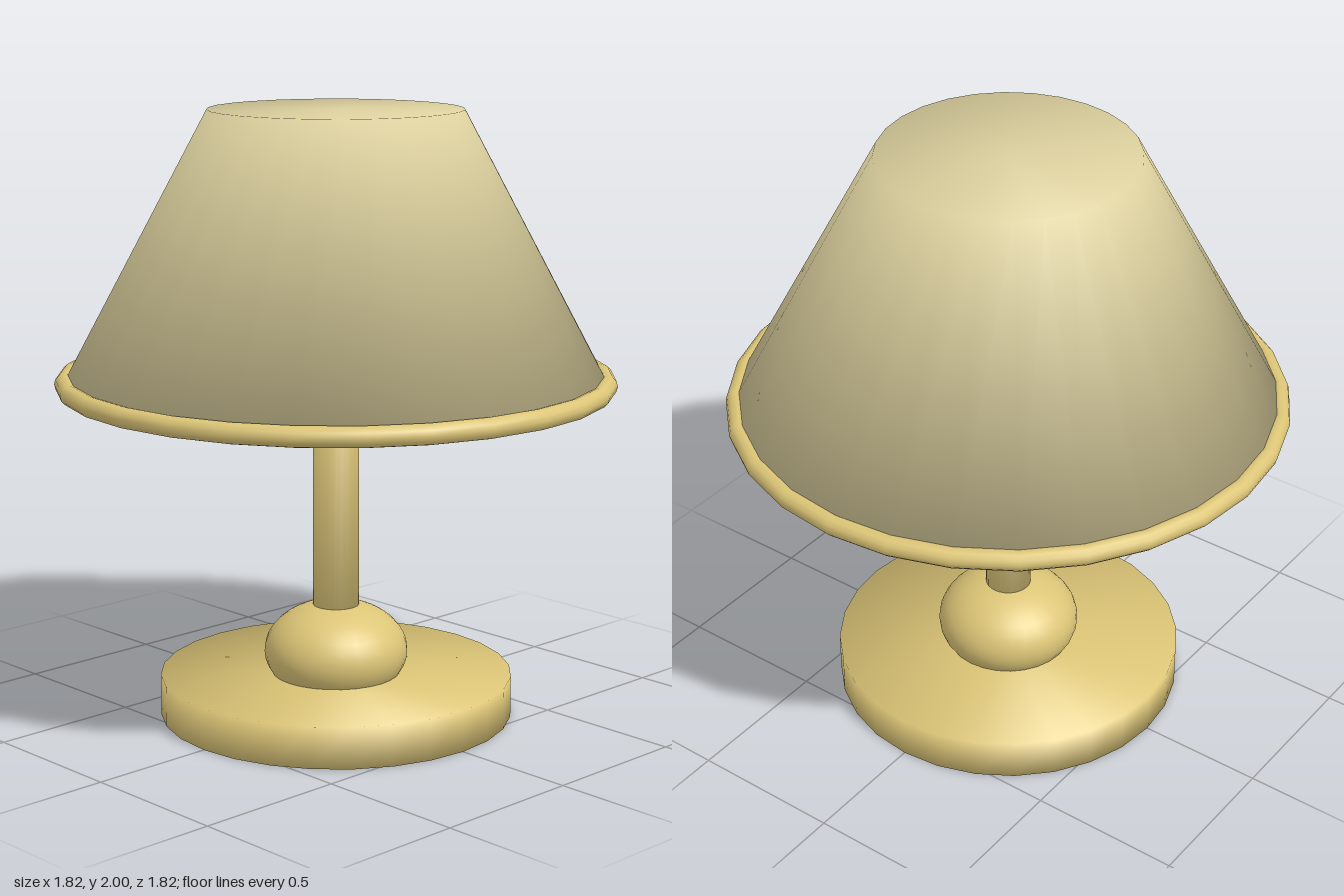
import * as THREE from 'three';

const SIDES = 28;

// Closed frustum whose normals blend softly from the wall into both caps
function softFrustum(rTop, rBottom, y0, y1) {
  const h = y1 - y0;
  const geo = new THREE.CylinderGeometry(rTop, rBottom, h, SIDES);
  const wall = new THREE.Vector2(h, rBottom - rTop).normalize();
  const top = new THREE.Vector2(wall.x, wall.y + 1).normalize();
  const bottom = new THREE.Vector2(wall.x, wall.y - 1).normalize();
  const p = geo.attributes.position;
  for (let i = 0; i < p.count; i++) {
    const isTop = p.getY(i) > 0;
    const n = isTop ? top : bottom;
    const k = n.x / (isTop ? rTop : rBottom);
    geo.attributes.normal.setXYZ(i, p.getX(i) * k, n.y, p.getZ(i) * k);
  }
  return geo.translate(0, (y0 + y1) / 2, 0);
}

export function createModel() {
  const lamp = new THREE.Group();
  lamp.name = 'tableLamp';

  const brass = new THREE.MeshStandardMaterial({ color: 0xdcc577 });
  brass.name = 'brass';
  const fabric = new THREE.MeshStandardMaterial({ color: 0xdbcf9d });
  fabric.name = 'shadeFabric';

  const add = (name, geometry, material) => {
    const mesh = new THREE.Mesh(geometry, material);
    mesh.name = name;
    lamp.add(mesh);
  };

  // Foot and stem
  add('base', softFrustum(0.583, 0.583, 0, 0.137), brass);
  add('knob', new THREE.SphereGeometry(1, SIDES, 20).scale(0.238, 0.165, 0.238).translate(0, 0.21, 0), brass);
  add('stem', softFrustum(0.076, 0.076, 0.2, 1.2), brass);

  // Closed shade with a rolled rim around its lower edge
  add('shade', softFrustum(0.412, 0.882, 1.125, 2), fabric);
  add('shadeRim', new THREE.TorusGeometry(0.878, 0.033, 12, SIDES).rotateX(Math.PI / 2).translate(0, 1.123, 0), brass);

  return lamp;
}
